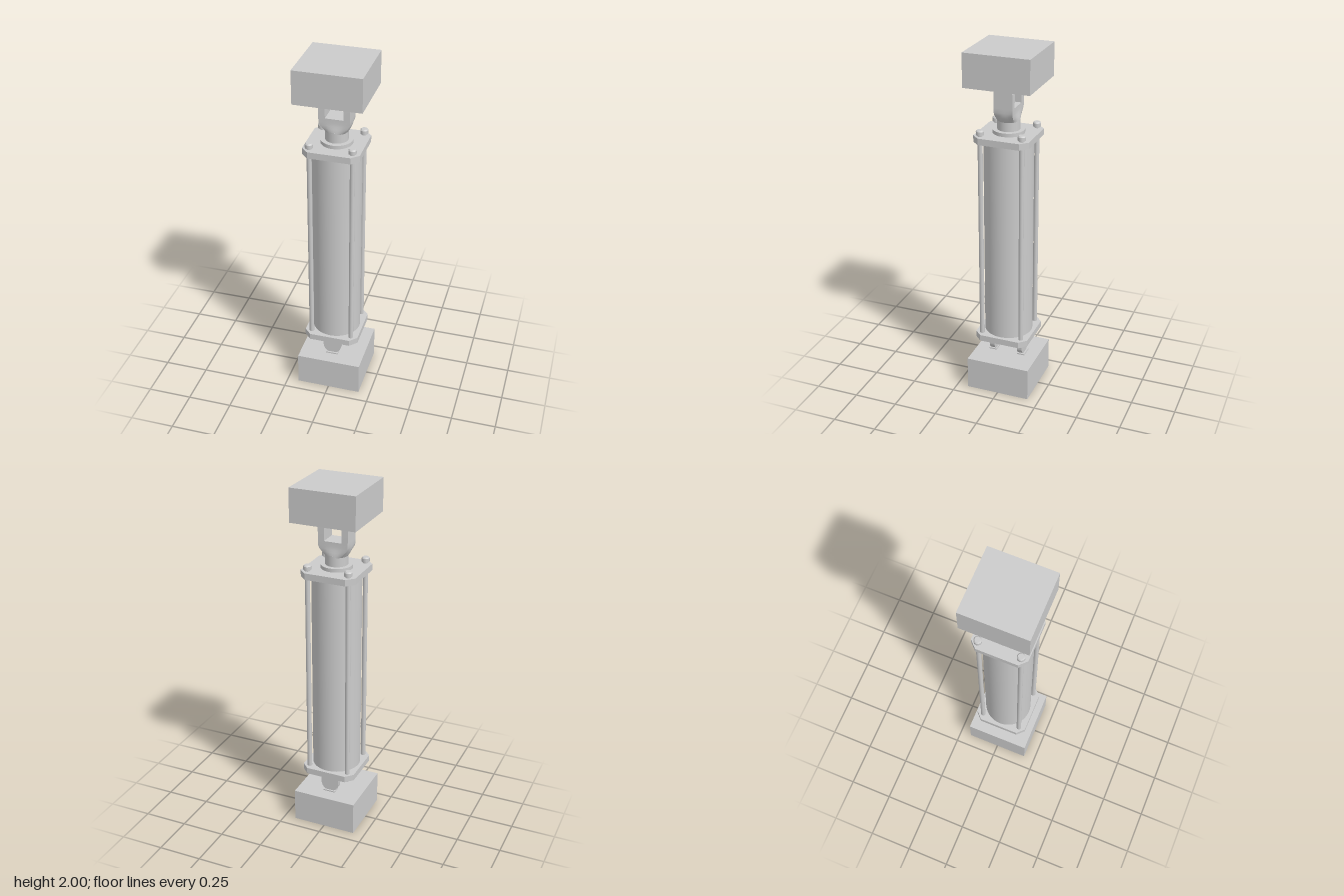
import * as THREE from 'three';
import { toCreasedNormals, mergeVertices } from 'three/addons/utils/BufferGeometryUtils.js';

const material = new THREE.MeshStandardMaterial({ color: 0xcccccc });

export function createModel() {
  const model = new THREE.Group();
  const add = (name, geometry, x, y, z) => {
    const mesh = new THREE.Mesh(geometry, material);
    mesh.name = name;
    mesh.position.set(x, y, z);
    model.add(mesh);
    return mesh;
  };
  // Upright cylinder given by its bottom and top heights
  const post = (name, r, y0, y1, x = 0, z = 0, sides = 32) =>
    add(name, new THREE.CylinderGeometry(r, r, y1 - y0, sides), x, (y0 + y1) / 2, z);

  // Mounting blocks
  add('lowerBlock', new THREE.BoxGeometry(0.368, 0.19, 0.368), 0, 0.095, 0);
  add('upperBlock', new THREE.BoxGeometry(0.368, 0.185, 0.368), 0, 1.9075, 0);

  // Square end plates with cut corners
  const h = 0.156, c = 0.116;
  const plate = new THREE.Shape([
    [h, -c], [h, c], [c, h], [-c, h], [-h, c], [-h, -c], [-c, -h], [c, -h],
  ].map(([x, y]) => new THREE.Vector2(x, y)));
  const plateGeometry = new THREE.ExtrudeGeometry(plate, { depth: 0.036, bevelEnabled: false });
  plateGeometry.rotateX(-Math.PI / 2);
  add('lowerPlate', plateGeometry, 0, 0.311, 0);
  add('upperPlate', plateGeometry, 0, 1.504, 0);

  // Barrel, collar and piston rod
  post('barrel', 0.136, 0.34, 1.51, 0, 0, 64);
  post('collar', 0.087, 1.535, 1.56, 0, 0, 48);
  post('pistonRod', 0.062, 1.55, 1.62, 0, 0, 48);

  // Tie rods with domed nuts on top
  const nutProfile = [[0, 0], [0.014, 0], [0.014, 0.005], [0.022, 0.008], [0.022, 0.028], [0.016, 0.035], [0, 0.035]]
    .map(([r, y]) => new THREE.Vector2(r, y));
  const nut = toCreasedNormals(new THREE.LatheGeometry(nutProfile, 12), 0.6);
  const rodAt = 0.117;
  for (const sx of [-1, 1]) for (const sz of [-1, 1]) {
    post('tieRod', 0.0135, 0.3, 1.545, sx * rodAt, sz * rodAt, 20);
    add('tieRodNut', nut, sx * rodAt, 1.54, sz * rodAt);
  }

  // Clevis base: round at the rod, blending to a rectangle under the fork
  const n = 32, positions = [], index = [];
  const sections = [ // y, half x, half z, squareness
    [1.61, 0.062, 0.062, 0], [1.622, 0.07, 0.061, 0.2], [1.637, 0.078, 0.058, 0.5],
    [1.652, 0.083, 0.054, 0.8], [1.668, 0.085, 0.052, 1], [1.693, 0.085, 0.052, 1],
  ];
  for (const [y, hx, hz, square] of sections) for (let i = 0; i < n; i++) {
    const a = i / n * Math.PI * 2, cs = Math.cos(a), sn = Math.sin(a);
    const k = 1 + square * (1 / Math.max(Math.abs(cs), Math.abs(sn)) - 1);
    positions.push(cs * k * hx, y, sn * k * hz);
  }
  for (let s = 0; s < sections.length - 1; s++) for (let i = 0; i < n; i++) {
    const a = s * n + i, b = s * n + (i + 1) % n;
    index.push(a, a + n, b, b, a + n, b + n);
  }
  const top = (sections.length - 1) * n;
  for (let i = 1; i < n - 1; i++) {
    index.push(0, i, i + 1, top, top + i + 1, top + i);
  }
  const base = new THREE.BufferGeometry();
  base.setAttribute('position', new THREE.Float32BufferAttribute(positions, 3));
  base.setIndex(index);
  add('clevisBase', toCreasedNormals(mergeVertices(base), 0.6), 0, 0, 0);

  // Round-ended lug, extruded in z and centred on its thickness
  const lugGeometry = (length, thickness) => {
    const r = 0.052, shape = new THREE.Shape();
    shape.moveTo(-r, 0);
    shape.lineTo(r, 0);
    shape.lineTo(r, length - r);
    shape.absarc(0, length - r, r, 0, Math.PI, false);
    shape.closePath();
    const g = new THREE.ExtrudeGeometry(shape, { depth: thickness, bevelEnabled: false, curveSegments: 20 });
    g.translate(0, 0, -thickness / 2);
    return toCreasedNormals(g, 0.6);
  };

  // Fork prongs above and the two lugs below, with thin pads at the blocks
  const prong = lugGeometry(0.13, 0.035).rotateY(Math.PI / 2);
  const lug = lugGeometry(0.122, 0.03).rotateZ(Math.PI);
  for (const s of [-1, 1]) {
    add('forkProng', prong, s * 0.0675, 1.69, 0);
    add('forkPad', new THREE.BoxGeometry(0.046, 0.007, 0.06), s * 0.069, 1.8135, 0);
    add('lowerLug', lug, 0, 0.313, s * 0.084);
    add('lugPad', new THREE.BoxGeometry(0.07, 0.008, 0.046), 0, 0.193, s * 0.086);
  }

  return model;
}
